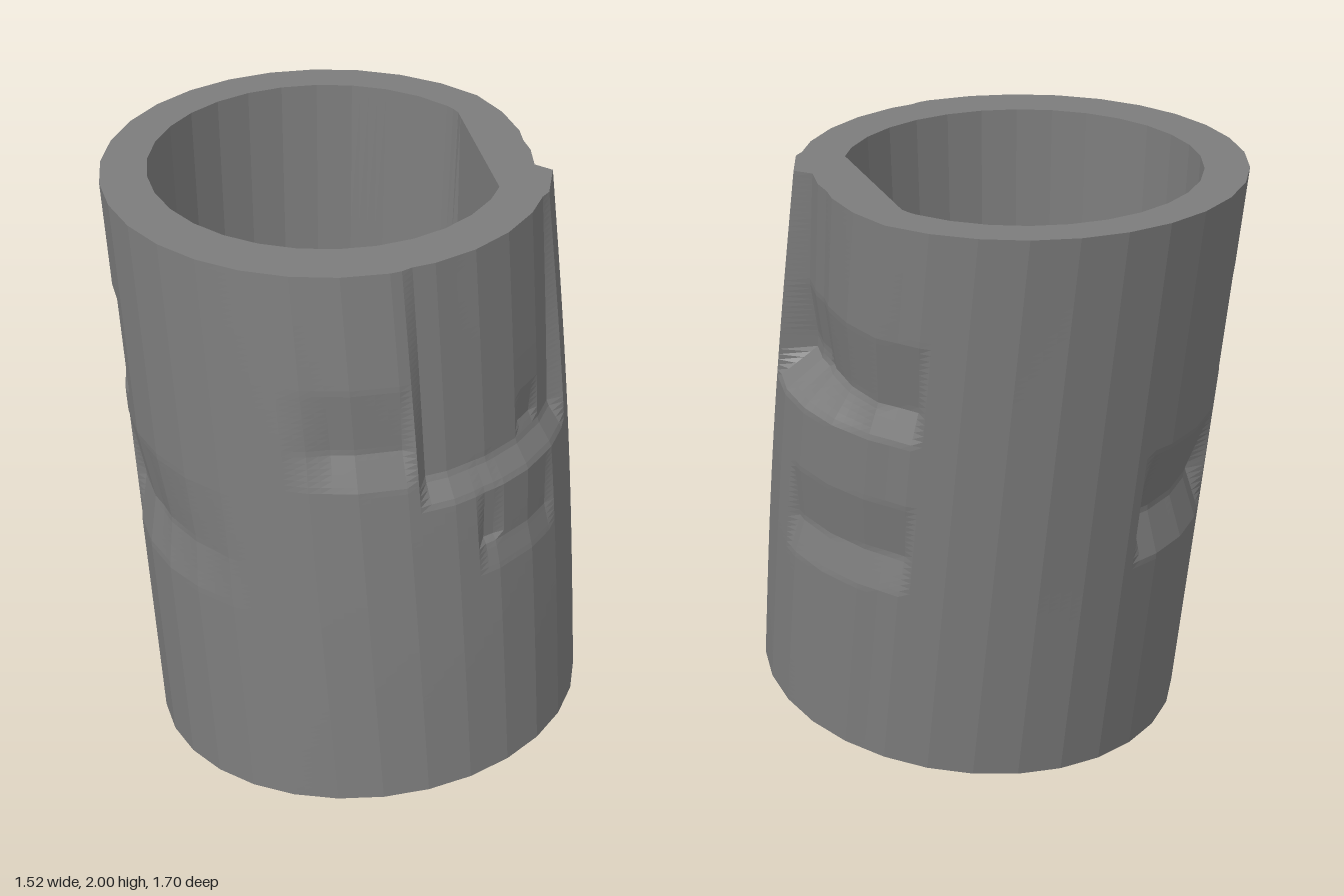
import * as THREE from 'three';

const SIDES = 30, COLS = 120, ROWS = 96;
const rad = THREE.MathUtils.degToRad, lerp = THREE.MathUtils.lerp;
const clamp = (v) => Math.min(1, Math.max(0, v));

// Carved dents: angle range (0 = front, 90 = +x), ledge bottom, ledge top, fade-out height,
// depth, softness of the two side edges in degrees
const dents = [
  { a: [-33, 24], y: [1.2, 1.28, 2.2], d: 0.045, s: [3, 3] },   // front panel
  { a: [0, 12], y: [1.3, 1.32, 1.44], d: 0.015, s: [3, 3] },    // small notch in the panel
  { a: [-66, -33], y: [1.28, 1.4, 1.62], d: 0.03, s: [12, 3] }, // front right
  { a: [-18, -9], y: [1.0, 1.02, 1.3], d: 0.015, s: [3, 3] },   // thin slot
  { a: [-18, 12], y: [0.91, 1.0, 1.2], d: 0.015, s: [3, 3] },   // lower front
  { a: [36, 84], y: [1.28, 1.39, 2.9], d: 0.09, s: [3, 30] },   // scoop up to the rim
  { a: [36, 99], y: [1.27, 1.38, 1.62], d: 0.04, s: [3, 3] },   // left side ledge
  { a: [54, 99], y: [0.72, 0.85, 1.05], d: 0.03, s: [3, 3] },   // left side lower
  { a: [159, 201], y: [0.77, 0.93, 1.18], d: 0.065, s: [3, 3] }, // back lower
  { a: [201, 234], y: [1.28, 1.41, 1.65], d: 0.045, s: [3, 3] }, // back upper
  { a: [225, 282], y: [0.79, 0.96, 1.2], d: 0.035, s: [3, 36] }, // right side lower
];

function dentDepth(deg, y) {
  let sum = 0;
  for (const { a, y: [y0, y1, y2], d, s } of dents) {
    const t = a[0] + ((((deg - a[0]) % 360) + 360) % 360);
    const across = clamp((t - a[0]) / s[0]) * clamp((a[1] - t) / s[1]);
    const along = clamp((y - y0) / (y1 - y0)) * clamp((y2 - y) / (y2 - y1));
    sum += d * across * along;
  }
  return Math.min(sum, 0.12);
}

// Radius of a regular polygon at a given angle
function polygonRadius(r, deg) {
  const step = 360 / SIDES;
  const off = ((deg % step) + step) % step - step / 2;
  return r * Math.cos(rad(step / 2)) / Math.cos(rad(off));
}

const ring = (point) => Array.from({ length: COLS }, (_, j) => point((j * 360) / COLS));
const flat = (x, y, z) => ring(() => [x, y, z]);

// Leaning outer wall: tilted base at t = 0, level rim at t = 1
const outerRing = (t) => ring((deg) => {
  const s = Math.sin(rad(deg)), c = Math.cos(rad(deg));
  const y = lerp(0.08 + 0.108 * 0.725 * c, 2, t);
  const r = polygonRadius(0.73, deg) + 0.02 * Math.max(0, c) * Math.sin(Math.PI * t) - dentDepth(deg, y);
  return [lerp(-0.04, 0.03, t) + r * s, y, lerp(0.12, -0.12, t) + r * c];
});

// Bore, flattened behind the scoop
const innerRing = (t) => ring((deg) => {
  let r = polygonRadius(lerp(0.58, 0.54, t), deg);
  const off = Math.cos(rad(deg - 50));
  if (off > 0.5) r = Math.min(r, 0.505 / off);
  return [lerp(0.05, 0.03, t) + r * Math.sin(rad(deg)), lerp(2, 0.98, t), lerp(-0.135, -0.12, t) + r * Math.cos(rad(deg))];
});

function loft(name, rings, color = 0x7c7c7c) {
  const index = [];
  for (let i = 0; i < rings.length - 1; i++) {
    for (let j = 0; j < COLS; j++) {
      const k = (j + 1) % COLS;
      const a = i * COLS + j, b = i * COLS + k, c = a + COLS, d = b + COLS;
      index.push(a, b, d, a, d, c);
    }
  }
  const geo = new THREE.BufferGeometry();
  geo.setAttribute('position', new THREE.Float32BufferAttribute(rings.flat(2), 3));
  geo.setIndex(index);
  geo.computeVertexNormals();
  const mesh = new THREE.Mesh(geo, new THREE.MeshStandardMaterial({ color, flatShading: true }));
  mesh.name = name;
  return mesh;
}

export function createModel() {
  const group = new THREE.Group();
  group.name = 'carvedCup';
  const outer = Array.from({ length: ROWS + 1 }, (_, i) => outerRing(i / ROWS));
  const bore = [0, 0.5, 1].map(innerRing);
  group.add(
    loft('base', [flat(-0.04, 0.08, 0.12), outer[0]]),
    loft('outerWall', outer),
    loft('rim', [outer[ROWS], bore[0]]),
    loft('innerWall', bore),
    loft('innerFloor', [bore[2], flat(0.03, 0.98, -0.12)], 0x070707),
  );
  return group;
}
